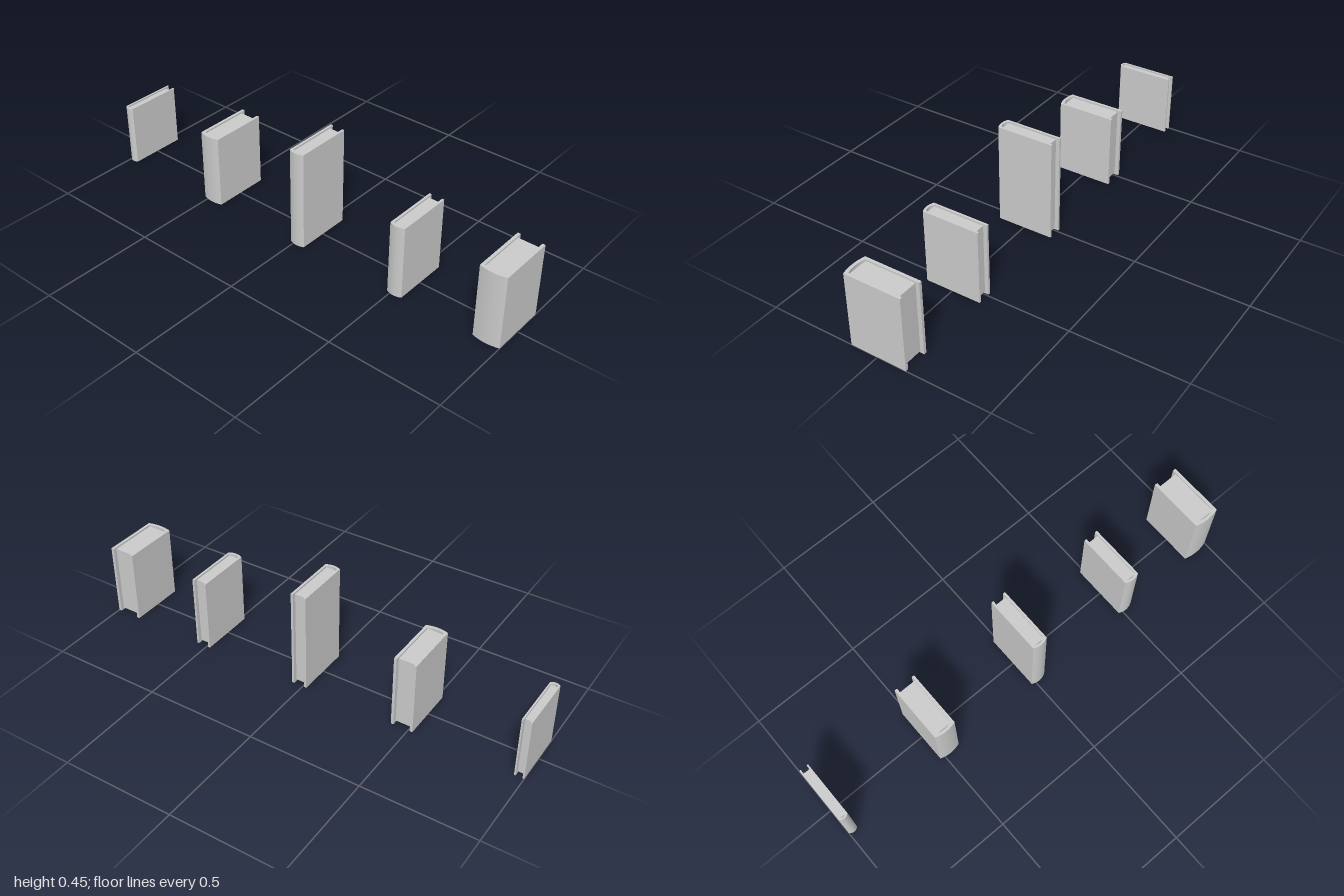
import * as THREE from 'three';

const FORE_EDGE = -0.131, HINGE = 0.122, SPINE = 0.131;

// Wraparound cover: a U-shaped outline with a gently bowed spine, extruded upward
function coverGeometry(width, height, board) {
  const w = width / 2, inner = w - board;
  const bow = 2 * SPINE - HINGE; // control point that puts the bow's crest on SPINE
  const s = new THREE.Shape(); // shape y is -z
  s.moveTo(-w, -FORE_EDGE);
  s.lineTo(-w, -HINGE);
  s.quadraticCurveTo(0, -bow, w, -HINGE);
  s.lineTo(w, -FORE_EDGE);
  s.lineTo(inner, -FORE_EDGE);
  s.lineTo(inner, -(HINGE - board));
  s.quadraticCurveTo(0, -(bow - board), -inner, -(HINGE - board));
  s.lineTo(-inner, -FORE_EDGE);
  s.closePath();
  const g = new THREE.ExtrudeGeometry(s, { depth: height, bevelEnabled: false, curveSegments: 8 });
  return g.rotateX(-Math.PI / 2);
}

function makeBook(x0, x1, height, board, material) {
  const book = new THREE.Group();
  const width = x1 - x0, inset = 0.008;
  book.position.x = (x0 + x1) / 2;

  const cover = new THREE.Mesh(coverGeometry(width, height, board), material);
  cover.name = 'cover';

  // Page block, set back from the cover's top, bottom and fore edge
  const back = -0.114, front = HINGE - board + 0.002;
  const pages = new THREE.Mesh(
    new THREE.BoxGeometry(width - 2 * board + 0.001, height - 2 * inset, front - back), material);
  pages.position.set(0, height / 2, (front + back) / 2);
  pages.name = 'pages';

  book.add(cover, pages);
  return book;
}

export function createModel() {
  const model = new THREE.Group();
  model.name = 'books';
  const material = new THREE.MeshStandardMaterial({ color: 0xcccccc });
  // left edge, right edge, height, board thickness
  const books = [
    [-1.0, -0.958, 0.278, 0.007],
    [-0.52, -0.422, 0.33, 0.012],
    [-0.018, 0.052, 0.448, 0.01],
    [0.483, 0.552, 0.33, 0.01],
    [0.882, 1.0, 0.33, 0.013],
  ];
  books.forEach(([x0, x1, h, board], i) => {
    const book = makeBook(x0, x1, h, board, material);
    book.name = `book${i + 1}`;
    model.add(book);
  });
  return model;
}
